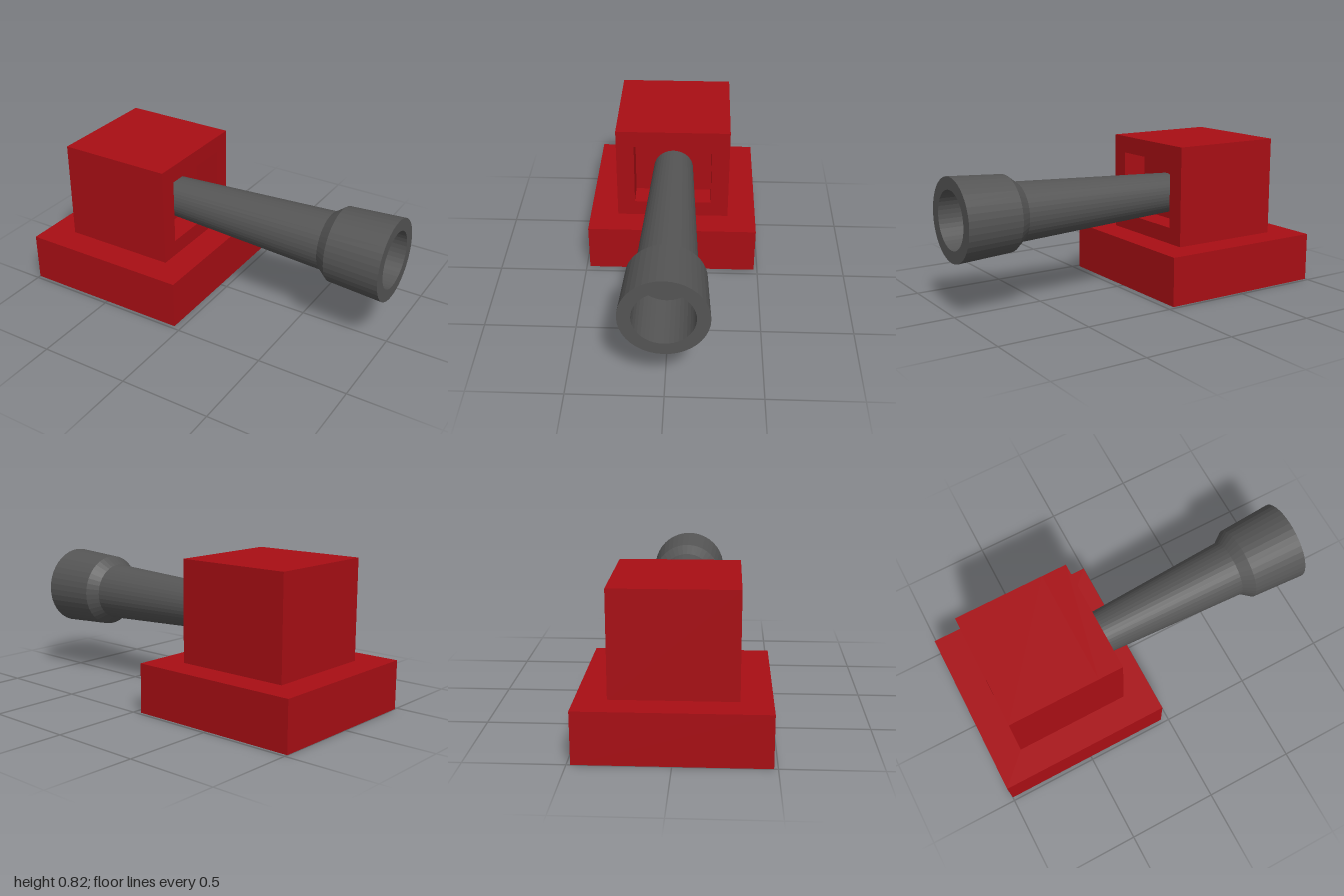
import * as THREE from 'three';

const red = new THREE.MeshStandardMaterial({ color: 0xa80e14 });
const grey = new THREE.MeshStandardMaterial({ color: 0x555555, flatShading: true });

function add(group, name, geometry, material, x, y) {
  const mesh = new THREE.Mesh(geometry, material);
  mesh.name = name;
  mesh.position.set(x, y, 0);
  group.add(mesh);
  return mesh;
}

// Traces a rectangle centred on x = 0
function rectangle(path, halfWidth, bottom, top) {
  path.moveTo(-halfWidth, bottom);
  path.lineTo(halfWidth, bottom);
  path.lineTo(halfWidth, top);
  path.lineTo(-halfWidth, top);
  path.closePath();
  return path;
}

export function createModel() {
  const model = new THREE.Group();
  model.name = 'cannonTurret';

  // Wide square base
  add(model, 'base', new THREE.BoxGeometry(0.96, 0.27, 0.96), red, -0.52, 0.135);

  // Housing: solid block at the back, open frame around the barrel
  const recess = 0.14;
  const blockDepth = 0.64 - recess;
  add(model, 'housing', new THREE.BoxGeometry(blockDepth, 0.55, 0.64), red, -0.84 + blockDepth / 2, 0.545);

  const frameShape = rectangle(new THREE.Shape(), 0.32, 0.27, 0.82);
  frameShape.holes.push(rectangle(new THREE.Path(), 0.22, 0.36, 0.725));
  const frameGeometry = new THREE.ExtrudeGeometry(frameShape, { depth: recess, bevelEnabled: false });
  frameGeometry.rotateY(Math.PI / 2);
  add(model, 'housingFrame', frameGeometry, red, -0.2 - recess, 0);

  // Flared barrel with a hollow muzzle, turned around the x axis
  const profile = [
    [0, -0.36], [0.112, -0.36], [0.16, 0.635], [0.205, 0.695],
    [0.223, 1], [0.156, 1], [0.156, 0.68], [0, 0.68],
  ].map(([radius, along]) => new THREE.Vector2(radius, along));
  const barrelGeometry = new THREE.LatheGeometry(profile, 40);
  barrelGeometry.rotateZ(-Math.PI / 2);
  add(model, 'barrel', barrelGeometry, grey, 0, 0.51);

  return model;
}
